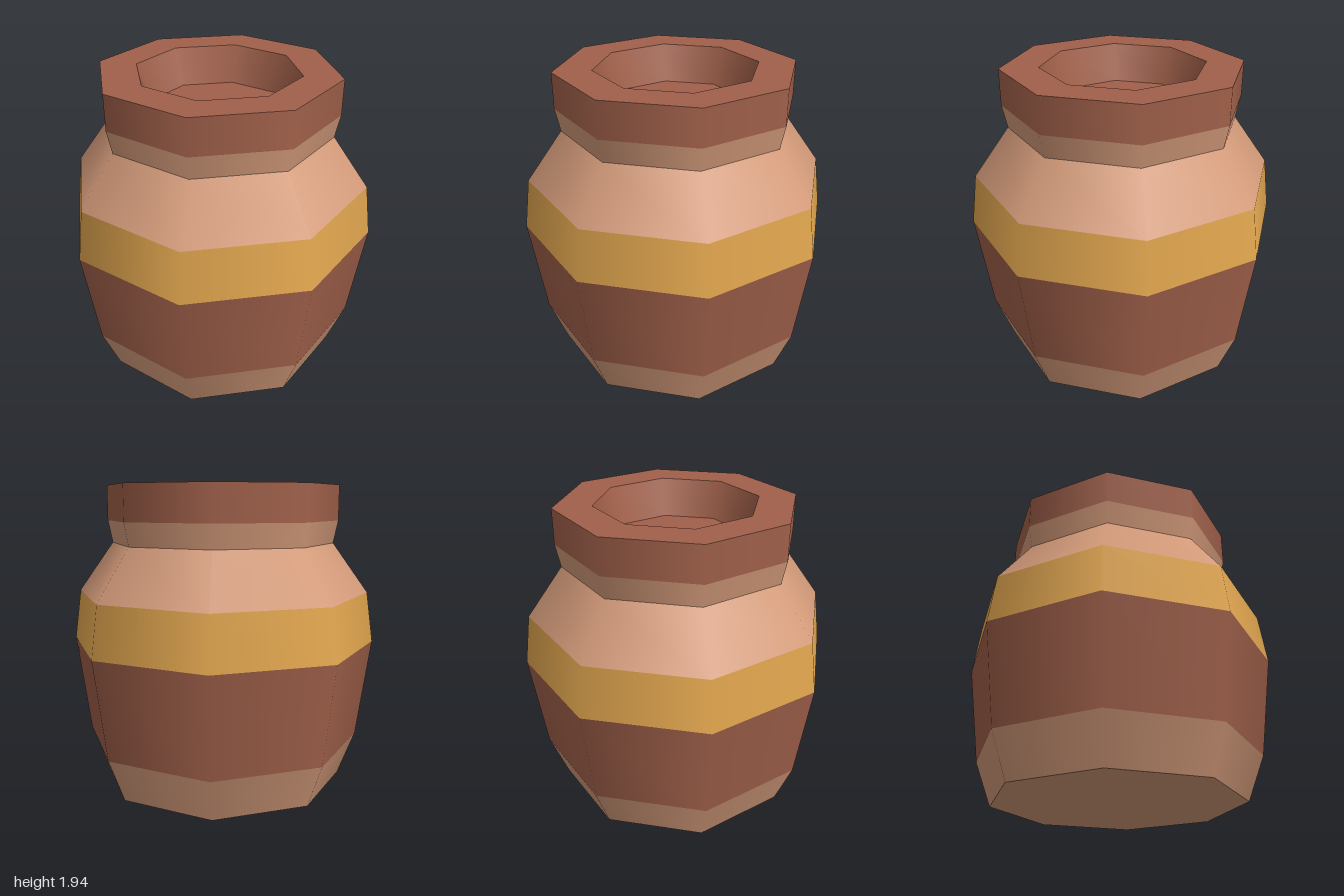
import * as THREE from 'three';

export function createModel() {
  const group = new THREE.Group();
  group.name = 'jar';

  const material = (name, color) => {
    const m = new THREE.MeshStandardMaterial({ color });
    m.name = name;
    return m;
  };
  const tan = material('tan clay', 0xd49b7a);
  const brown = material('brown clay', 0xa0604a);
  const gold = material('gold band', 0xe0a54e);

  // Each band is its own eight-sided lathe, so edges between bands stay sharp
  const band = (name, mat, from, to) => {
    const points = [from, to].map(([r, y]) => new THREE.Vector2(r, y));
    const mesh = new THREE.Mesh(new THREE.LatheGeometry(points, 8), mat);
    mesh.name = name;
    group.add(mesh);
  };

  // Profile rings as [radius, height]
  const foot = [0.8, 0], footTop = [0.91, 0.285], belly = [1, 0.925];
  const bandTop = [0.955, 1.25], neck = [0.725, 1.57], lipBottom = [0.755, 1.715];
  const lipTop = [0.755, 1.94], mouth = [0.515, 1.94], floor = [0.43, 1.71];

  // Body
  band('base', tan, [0, 0], foot);
  band('foot', tan, foot, footTop);
  band('belly', brown, footTop, belly);
  band('goldBand', gold, belly, bandTop);
  band('shoulder', tan, bandTop, neck);
  band('neck', tan, neck, lipBottom);

  // Lip and shallow mouth
  band('lip', brown, lipBottom, lipTop);
  band('rim', brown, lipTop, mouth);
  band('mouthWall', brown, mouth, floor);
  band('mouthFloor', brown, floor, [0, floor[1]]);

  return group;
}
